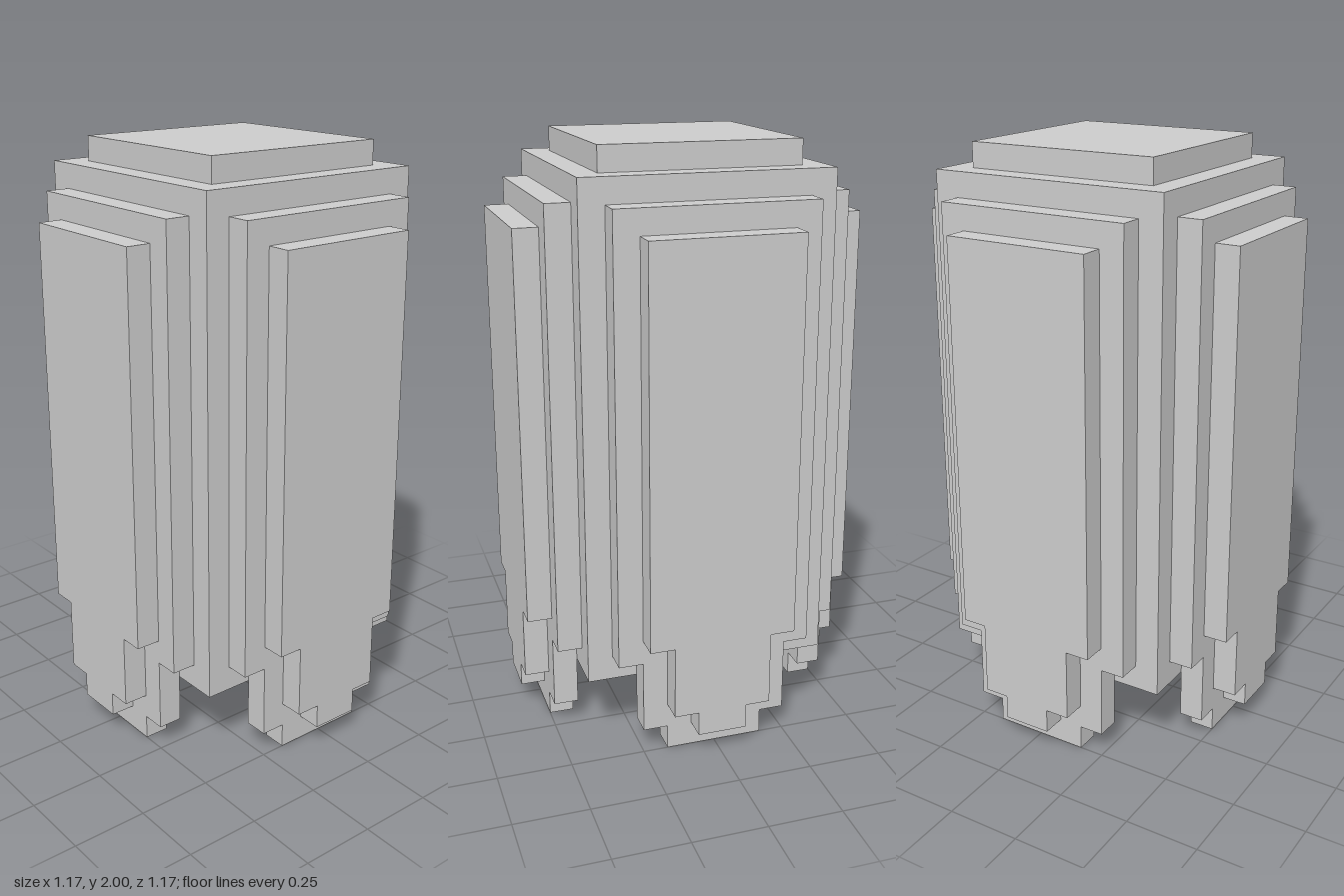
import * as THREE from 'three';

const U = 1 / 12; // every step is one grid unit
const material = new THREE.MeshStandardMaterial({ color: 0xcccccc, flatShading: true });

function block(name, width, bottom, top) {
  const mesh = new THREE.Mesh(
    new THREE.BoxGeometry(width * U, (top - bottom) * U, width * U), material);
  mesh.name = name;
  mesh.position.y = (bottom + top) * U / 2;
  return mesh;
}

// Symmetric slab outline from right-hand [halfWidth, y] corners, bottom to top
function slabGeometry(corners, depth) {
  const right = corners.map(([x, y]) => new THREE.Vector2(x * U, y * U));
  const left = right.map((p) => new THREE.Vector2(-p.x, p.y)).reverse();
  const geometry = new THREE.ExtrudeGeometry(new THREE.Shape([...right, ...left]),
    { depth: U, bevelEnabled: false });
  return geometry.translate(0, 0, depth * U);
}

export function createModel() {
  const model = new THREE.Group();
  model.name = 'steppedPillar';

  // Square core and its raised cap
  model.add(block('core', 10, 3, 23), block('topCap', 8, 23, 24));

  // Two stacked slabs per side, each tapering in steps to a foot
  const inner = slabGeometry([[2, 0], [2, 1], [3, 1], [3, 4], [4, 4], [4, 22]], 5);
  const outer = slabGeometry([[1, 1], [1, 2], [2, 2], [2, 5], [3, 5], [3, 21]], 6);

  ['front', 'left', 'back', 'right'].forEach((side, i) => {
    const panel = new THREE.Group();
    panel.name = side + 'Panel';
    panel.rotation.y = i * Math.PI / 2;
    for (const [name, geometry] of [['InnerSlab', inner], ['OuterSlab', outer]]) {
      const mesh = new THREE.Mesh(geometry, material);
      mesh.name = side + name;
      panel.add(mesh);
    }
    model.add(panel);
  });
  return model;
}
